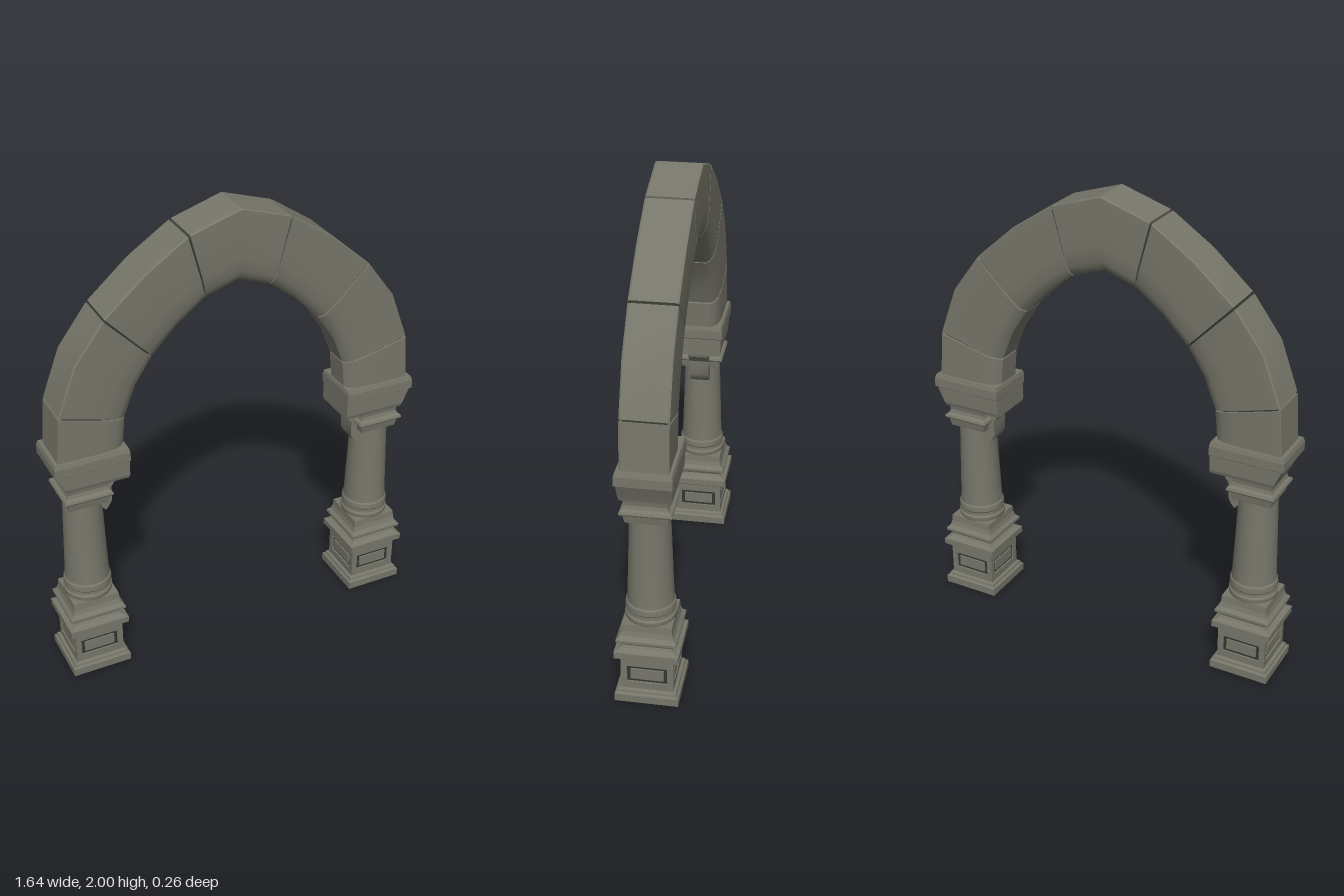
import * as THREE from 'three';
import { toCreasedNormals } from 'three/addons/utils/BufferGeometryUtils.js';

const stone = new THREE.MeshStandardMaterial({ color: 0x76766a });
const joint = new THREE.MeshStandardMaterial({ color: 0x35352f });
const COLUMN_X = 0.68;

function add(parent, name, geometry, material = stone, crease = 0.5) {
  const mesh = new THREE.Mesh(toCreasedNormals(geometry, crease), material);
  mesh.name = name;
  parent.add(mesh);
  return mesh;
}

// Turned profile of [half width, y]; four sides give a square moulding.
function turned(profile, sides) {
  const k = sides === 4 ? Math.SQRT2 : 1;
  const pts = [[0, profile[0][1]], ...profile, [0, profile[profile.length - 1][1]]];
  const g = new THREE.LatheGeometry(pts.map(([r, y]) => new THREE.Vector2(r * k, y)), sides);
  return sides === 4 ? g.rotateY(Math.PI / 4) : g;
}

// Closed solid through rings of equal length, each counter-clockwise seen from the far end.
function loft(rings) {
  const n = rings[0].length, last = (rings.length - 1) * n, index = [];
  for (let s = 0; s < rings.length - 1; s++) {
    for (let j = 0; j < n; j++) {
      const a = s * n + j, b = s * n + (j + 1) % n;
      index.push(a, b, b + n, a, b + n, a + n);
    }
  }
  for (let j = 1; j < n - 1; j++) {
    index.push(0, j + 1, j, last, last + j, last + j + 1);
  }
  const g = new THREE.BufferGeometry();
  g.setAttribute('position', new THREE.Float32BufferAttribute(rings.flat(2), 3));
  g.setIndex(index);
  return g;
}

function rectangle(path, w, h) {
  path.moveTo(-w, -h).lineTo(w, -h).lineTo(w, h).lineTo(-w, h).closePath();
  return path;
}

// Arch stations from the right springing to the apex: [outer x, outer y, inner x, inner y].
const half = [
  [0.80, 1.06, 0.51, 1.06], [0.783, 1.273, 0.497, 1.194], [0.704, 1.485, 0.444, 1.326],
  [0.577, 1.655, 0.37, 1.438], [0.40, 1.81, 0.26, 1.55], [0.22, 1.93, 0.143, 1.64], [0, 2, 0, 1.69],
];
const stations = [...half, ...half.slice(0, -1).reverse().map(([a, b, c, d]) => [-a, b, -c, d])];

// Voussoir section as [share of thickness, half depth], rounded on the inner side.
const side = [[0, 0.055], [0.05, 0.074], [0.14, 0.087], [0.35, 0.095], [0.985, 0.095], [1, 0.088]];
const section = [...side, ...side.slice().reverse().map(([f, z]) => [f, -z])];

function archRing([ox, oy, ix, iy], inset) {
  return section.map(([f, z]) => {
    const t = inset + f * (1 - 2 * inset);
    return [ix + (ox - ix) * t, iy + (oy - iy) * t, z * (1 - 2 * inset)];
  });
}

function shift(from, to, distance) {
  const d = Math.hypot(to[0] - from[0], to[1] - from[1]);
  return from.map((v, i) => v + (to[i] - v) * distance / d);
}

function makeArch() {
  const arch = new THREE.Group();
  arch.name = 'arch';
  const cuts = [0, 1, 3, 5, 7, 9, 11, 12];
  for (let i = 0; i < cuts.length - 1; i++) {
    const s = stations.slice(cuts[i], cuts[i + 1] + 1), e = s.length - 1;
    const first = i > 0 ? shift(s[0], s[1], 0.005) : s[0];
    const end = i < cuts.length - 2 ? shift(s[e], s[e - 1], 0.005) : s[e];
    const rings = [first, ...s.slice(1, -1), end].map(p => archRing(p, 0));
    add(arch, i === 3 ? 'keystone' : 'archStone', loft(rings));
  }
  add(arch, 'mortarCore', loft(stations.map(p => archRing(p, 0.05))), joint);
  return arch;
}

// Column built around its own axis, with the opening of the arch on its -x side.
function makeColumn(mirror) {
  const column = new THREE.Group();
  column.name = mirror > 0 ? 'leftColumn' : 'rightColumn';

  add(column, 'plinth', turned([
    [0.13, 0], [0.13, 0.034], [0.121, 0.04], [0.119, 0.05], [0.098, 0.058], [0.098, 0.195],
    [0.114, 0.2], [0.118, 0.207], [0.13, 0.212], [0.13, 0.24], [0.119, 0.243], [0.106, 0.25],
    [0.1, 0.262], [0.106, 0.275], [0.122, 0.284], [0.122, 0.295], [0.108, 0.31],
    [0.102, 0.33], [0.1, 0.36],
  ], 4), stone, 0.2);

  // Recessed panel on each face of the plinth
  for (let i = 0; i < 4; i++) {
    const face = new THREE.Group();
    face.name = 'plinthPanel';
    face.rotation.y = i * Math.PI / 2;
    const shape = rectangle(new THREE.Shape(), 0.107, 0.073);
    shape.holes.push(rectangle(new THREE.Path(), 0.082, 0.038));
    const frame = add(face, 'panelFrame',
      new THREE.ExtrudeGeometry(shape, { depth: 0.012, bevelEnabled: false }));
    frame.position.set(0, 0.124, 0.095);
    const groove = add(face, 'panelGroove', new THREE.BoxGeometry(0.166, 0.078, 0.004), joint);
    groove.position.set(0, 0.124, 0.097);
    const panel = add(face, 'raisedPanel', new THREE.BoxGeometry(0.134, 0.048, 0.012));
    panel.position.set(0, 0.124, 0.1);
    column.add(face);
  }

  add(column, 'shaft', turned([
    [0.1, 0.355], [0.104, 0.365], [0.104, 0.378], [0.098, 0.386], [0.097, 0.4], [0.102, 0.406],
    [0.102, 0.418], [0.1, 0.43], [0.095, 0.436], [0.092, 0.5], [0.081, 0.83],
  ], 24));

  add(column, 'capital', turned([
    [0.083, 0.825], [0.087, 0.845], [0.089, 0.858], [0.1, 0.864], [0.104, 0.872],
    [0.1, 0.882], [0.088, 0.89], [0.084, 0.905], [0.088, 0.93], [0.094, 0.935],
  ], 4), stone, 0.2);

  // Impost block as level rings: [y, inner x, outer x, half depth]
  const levels = [
    [0.93, -0.177, 0.095, 0.1], [0.945, -0.177, 0.1, 0.105], [1.012, -0.177, 0.13, 0.107],
    [1.016, -0.18, 0.14, 0.112], [1.055, -0.18, 0.14, 0.112], [1.073, -0.176, 0.134, 0.107],
  ];
  add(column, 'impost', loft(levels.map(([y, a, b, z]) =>
    [[a, y, z], [b, y, z], [b, y, -z], [a, y, -z]])), stone, 0.1);

  // Scrolled bracket under the overhang
  const profile = new THREE.Shape([
    [-0.05, 0.935], [-0.165, 0.935], [-0.158, 0.91], [-0.135, 0.895], [-0.116, 0.87],
    [-0.114, 0.8], [-0.1, 0.775], [-0.086, 0.76], [-0.05, 0.8],
  ].map(([x, y]) => new THREE.Vector2(x, y)));
  const bracket = add(column, 'bracket',
    new THREE.ExtrudeGeometry(profile, { depth: 0.09, bevelEnabled: false }));
  bracket.position.z = -0.045;

  // A half turn mirrors the column, which is symmetric in z
  if (mirror < 0) column.rotation.y = Math.PI;
  column.position.x = mirror * COLUMN_X;
  return column;
}

export function createModel() {
  const model = new THREE.Group();
  model.name = 'stoneArchway';
  model.add(makeArch(), makeColumn(1), makeColumn(-1));
  return model;
}
